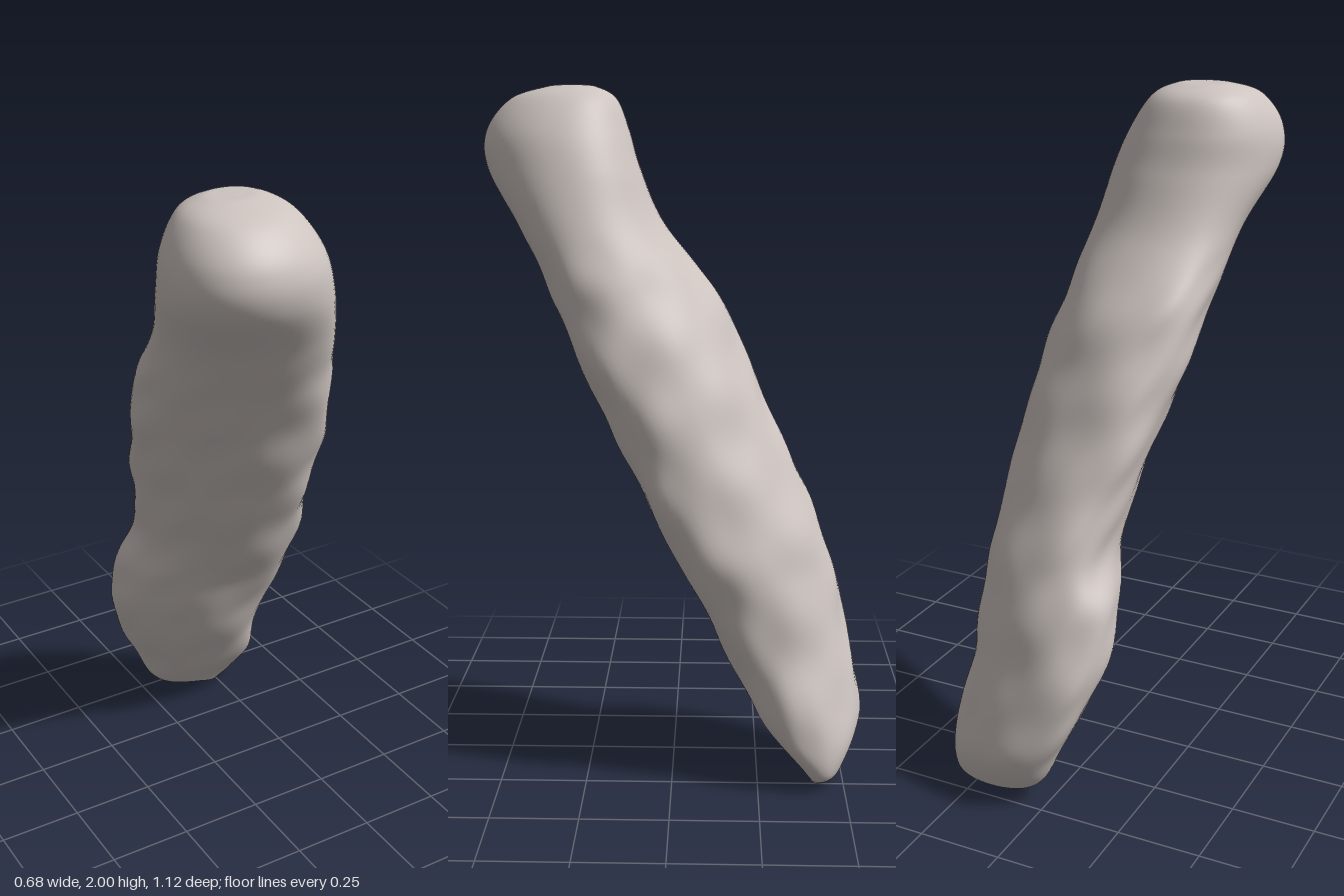
import * as THREE from 'three';

// Level sections: y, xMin, xMax, zMin, zMax, skew (how far the oval leans to the x = z diagonal)
const SECTIONS = [
  [0.00, 0.20, 0.25, -0.45, -0.41, 0.2],
  [0.05, 0.04, 0.32, -0.505, -0.375, 0.2],
  [0.18, -0.04, 0.337, -0.555, -0.265, 0.3],
  [0.40, -0.135, 0.31, -0.525, -0.145, 0.32],
  [0.60, -0.15, 0.32, -0.475, -0.05, 0.35],
  [0.75, -0.115, 0.315, -0.42, 0.04, 0.35],
  [1.00, -0.165, 0.29, -0.31, 0.16, 0.35],
  [1.20, -0.215, 0.27, -0.225, 0.255, 0.35],
  [1.40, -0.255, 0.225, -0.125, 0.345, 0.3],
  [1.60, -0.285, 0.175, 0.03, 0.45, 0.15],
  [1.76, -0.34, 0.13, 0.10, 0.55, -0.08],
  [1.87, -0.34, 0.085, 0.133, 0.556, -0.1],
  [1.96, -0.29, 0.02, 0.17, 0.485, -0.1],
  [1.995, -0.22, -0.05, 0.23, 0.38, -0.1],
  [2.00, -0.15, -0.11, 0.28, 0.32, 0],
];

// Smooth closed skin through the sections, with a weathered shaft and a smooth head
function skin(rings, sides) {
  const xs = new THREE.CatmullRomCurve3(
    SECTIONS.map(([y, x0, x1]) => new THREE.Vector3(x0, y, x1)), false, 'catmullrom');
  const zs = new THREE.CatmullRomCurve3(
    SECTIONS.map(([, , , z0, z1, k]) => new THREE.Vector3(z0, k, z1)), false, 'catmullrom');
  const pos = [], index = [];
  const soften = (v) => Math.sign(v) * Math.pow(Math.abs(v), 0.94);
  for (let i = 0; i <= rings; i++) {
    const X = xs.getPoint(i / rings), Z = zs.getPoint(i / rings);
    const y = THREE.MathUtils.clamp(X.y, 0, 2);
    const rough = THREE.MathUtils.smoothstep(y, 0.02, 0.2)
      * (1 - THREE.MathUtils.smoothstep(y, 1.4, 1.6));
    for (let j = 0; j < sides; j++) {
      const t = (j / sides) * Math.PI * 2;
      const bump = 1 + rough * (0.016 * Math.sin(3 * t + 9 * y)
        + 0.012 * Math.sin(5 * t - 17 * y + 1) + 0.01 * Math.sin(2 * t + 31 * y)
        + 0.008 * Math.sin(9 * t + 23 * y + 2));
      pos.push(
        (X.x + X.z) / 2 + (X.z - X.x) / 2 * soften(Math.cos(t)) * bump,
        y,
        (Z.x + Z.z) / 2 + (Z.z - Z.x) / 2 * soften(Math.sin(t + Math.asin(Z.y))) * bump);
      if (i < rings) {
        const a = i * sides + j, b = i * sides + (j + 1) % sides;
        index.push(a, a + sides, b, b, a + sides, b + sides);
      }
    }
  }
  // Close both ends
  const bottom = pos.length / 3, top = bottom + 1, last = rings * sides;
  pos.push(0.225, 0, -0.43, -0.13, 2, 0.3);
  for (let j = 0; j < sides; j++) {
    const n = (j + 1) % sides;
    index.push(bottom, j, n, top, last + n, last + j);
  }
  const g = new THREE.BufferGeometry();
  g.setAttribute('position', new THREE.Float32BufferAttribute(pos, 3));
  g.setIndex(index);
  g.computeVertexNormals();
  return g;
}

export function createModel() {
  const group = new THREE.Group();
  group.name = 'leaningBone';
  const bone = new THREE.MeshStandardMaterial({ color: 0xcdc4c0 });
  bone.name = 'pale bone';
  const shaft = new THREE.Mesh(skin(150, 72), bone);
  shaft.name = 'boneShaft';
  group.add(shaft);
  return group;
}
